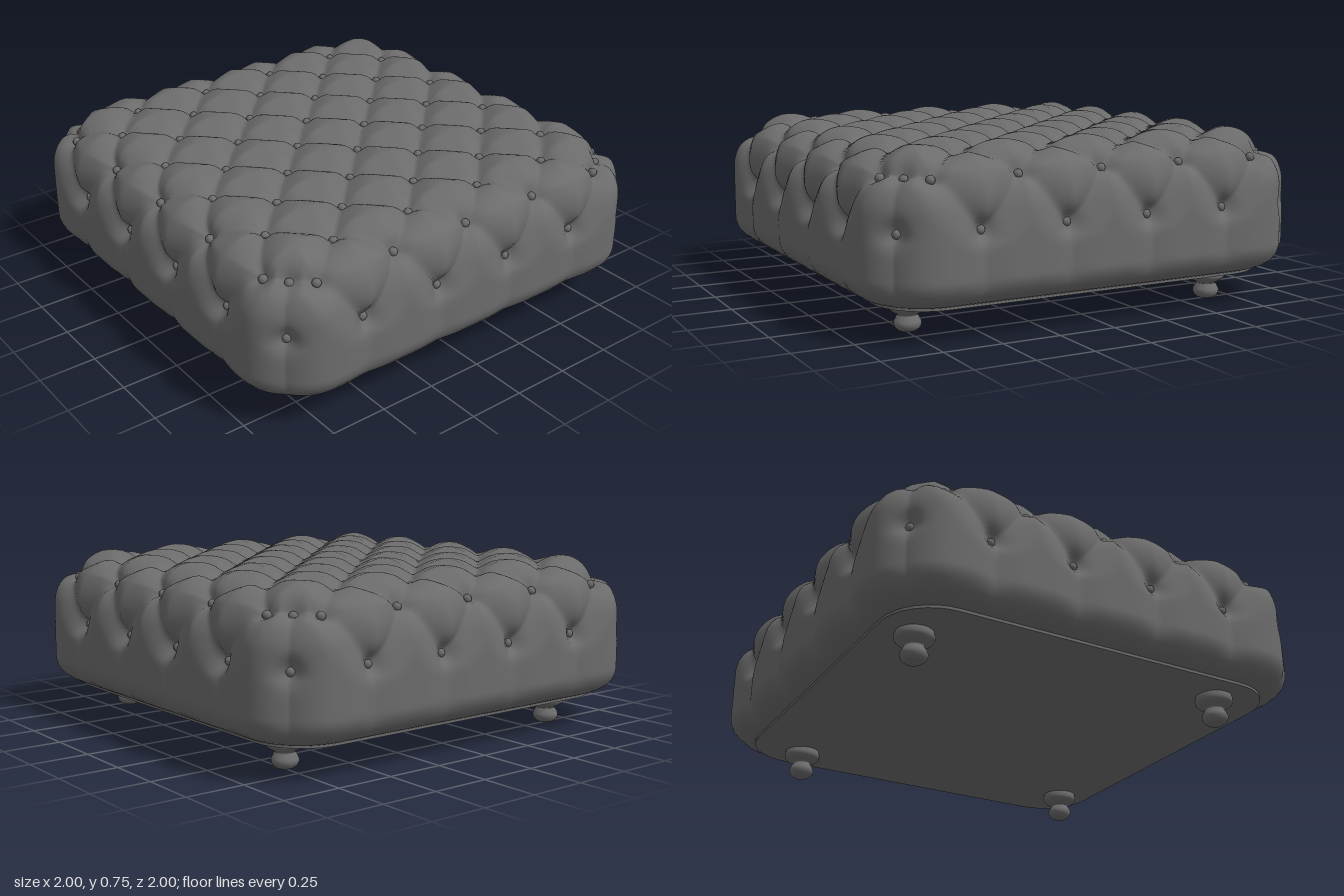
import * as THREE from 'three';
import { mergeVertices } from 'three/addons/utils/BufferGeometryUtils.js';

const HALF = 0.955, TOP = 0.70, BOTTOM = 0.135;   // cushion before puffing
const TOP_R = 0.2, BOTTOM_R = 0.08, PLAN_R = 0.25; // edge and corner radii
const STEP = 0.187, PUFF = 0.045;
const V = (x, y, z) => new THREE.Vector3(x, y, z);

// Rounded square outline point (half size 1) for a point on the unit square
function roundedSquare(x, z) {
  const c = 1 - PLAN_R;
  const ix = THREE.MathUtils.clamp(x, -c, c), iz = THREE.MathUtils.clamp(z, -c, c);
  const k = PLAN_R / Math.hypot(x - ix, z - iz);
  return [ix + (x - ix) * k, iz + (z - iz) * k];
}

// Smooth cushion block: maps a box point (x, z in -1..1, y in 0..1)
function blockPoint(x, y, z) {
  const m = Math.max(Math.abs(x), Math.abs(z));
  let rho = m * HALF, h = BOTTOM + y * (TOP - BOTTOM);
  const a = rho - (HALF - TOP_R), b = h - (TOP - TOP_R);
  if (a > 0 && b > 0) {
    const k = TOP_R / Math.hypot(a, b);
    rho = HALF - TOP_R + a * k;
    h = TOP - TOP_R + b * k;
  } else if (h < BOTTOM + BOTTOM_R) {
    const t = (BOTTOM + BOTTOM_R - h) / BOTTOM_R * Math.PI / 2;
    rho = m * (HALF - BOTTOM_R + BOTTOM_R * Math.cos(t));
    h = BOTTOM + BOTTOM_R * (1 - Math.sin(t));
  }
  if (m < 1e-6) return V(0, h, 0);
  const [px, pz] = roundedSquare(x / m, z / m);
  return V(px * rho, h, pz * rho);
}

// Button positions and the pleats that join them
function tufting() {
  const buttons = [], pleats = [];
  for (let k = -4; k <= 4; k++)
    for (let i = -4; i <= 4; i++)
      if ((i + k) % 2 !== 0) buttons.push(V(i * STEP, TOP, k * STEP));
  const corners = [];
  for (let q = 0; q < 4; q++) {
    const turn = (x, y, z) => V(x, y, z).applyAxisAngle(V(0, 1, 0), q * Math.PI / 2);
    for (const i of [-4, -2, 0, 2, 4]) buttons.push(turn(i * STEP, 0.64, 0.9));
    for (const i of [-3, -1, 1, 3]) {
      const p = turn(i * STEP, 0.43, HALF);
      buttons.push(p);
      pleats.push({ line: new THREE.Line3(p, turn(i * STEP, 0.15, HALF)), depth: 0.5 });
    }
    const upper = turn(0.833, 0.64, 0.833), lower = turn(0.885, 0.43, 0.885);
    corners.push(upper, lower);
    for (const [p, s, depth] of [
      [upper, turn(4 * STEP, 0.64, 0.9), 0.9], [upper, turn(0.9, 0.64, 4 * STEP), 0.9],
      [upper, lower, 0.7], [lower, turn(0.885, 0.15, 0.885), 0.5],
    ]) pleats.push({ line: new THREE.Line3(p, s), depth });
  }
  // Diagonal pleats between neighbouring buttons
  buttons.forEach((p, i) => buttons.slice(i + 1).forEach((s) => {
    if (p.distanceTo(s) < 0.31) pleats.push({ line: new THREE.Line3(p, s), depth: 1 });
  }));
  return { buttons: buttons.concat(corners), pleats };
}

// How far the padding stands out from the block at a point
function puffAt(p, n, { buttons, pleats }) {
  const near = V(0, 0, 0);
  let dent = 0, pull = 0;
  for (const { line, depth } of pleats) {
    line.closestPointToPoint(p, true, near).sub(p);
    if (near.lengthSq() > 0.04) continue;
    const d = near.addScaledVector(n, -near.dot(n)).length();
    dent = Math.max(dent, depth * (1 - Math.sin(Math.min(1, d / 0.13) * Math.PI / 2)));
  }
  for (const b of buttons) pull = Math.max(pull, Math.exp(-b.distanceToSquared(p) / 0.002));
  const fade = THREE.MathUtils.smoothstep(p.y, BOTTOM, 0.25);
  return fade * (PUFF * (1 - dent) - 0.03 * pull);
}

export function createModel() {
  const model = new THREE.Group();
  const leather = new THREE.MeshStandardMaterial({ color: 0x6b6b6b });
  leather.name = 'greyLeather';
  const add = (geometry, name, parent = model) => {
    const mesh = new THREE.Mesh(geometry, leather);
    mesh.name = name;
    parent.add(mesh);
    return mesh;
  };

  // Tufted cushion: rounded block without its underside, puffed between pleats
  const box = new THREE.BoxGeometry(2, 1, 2, 150, 38, 150);
  const under = box.groups[3];
  box.setIndex([...box.index.array].filter((_, i) => i < under.start || i >= under.start + under.count));
  box.clearGroups();
  box.deleteAttribute('uv');
  box.deleteAttribute('normal');
  const cushion = mergeVertices(box);
  const pos = cushion.attributes.position;
  for (let i = 0; i < pos.count; i++) {
    const p = blockPoint(pos.getX(i), pos.getY(i) + 0.5, pos.getZ(i));
    pos.setXYZ(i, p.x, p.y, p.z);
  }
  cushion.computeVertexNormals();
  const normals = cushion.attributes.normal;
  const tufts = tufting();
  const seats = tufts.buttons.map(() => ({ d: Infinity, puff: 0, n: V(0, 1, 0) }));
  const p = V(0, 0, 0), n = V(0, 0, 0);
  for (let i = 0; i < pos.count; i++) {
    p.fromBufferAttribute(pos, i);
    n.fromBufferAttribute(normals, i);
    const puff = puffAt(p, n, tufts);
    tufts.buttons.forEach((b, j) => {
      const d = b.distanceToSquared(p);
      if (d < seats[j].d) seats[j] = { d, puff, n: n.clone() };
    });
    p.addScaledVector(n, puff);
    pos.setXYZ(i, p.x, p.y, p.z);
  }
  cushion.computeVertexNormals();
  add(cushion, 'tuftedCushion');

  // Buttons sunk into the pleat crossings
  const buttons = new THREE.Group();
  buttons.name = 'buttons';
  const buttonGeometry = new THREE.SphereGeometry(0.019, 10, 8);
  tufts.buttons.forEach((b, j) => {
    const button = add(buttonGeometry, 'button', buttons);
    button.position.copy(b).addScaledVector(seats[j].n, seats[j].puff + 0.004);
  });
  model.add(buttons);

  // Flat base panel
  const outline = [];
  for (let q = 0; q < 4; q++)
    for (let s = 0; s <= 8; s++) {
      const a = (q + s / 8) * Math.PI / 2, c = 1 - PLAN_R;
      const sx = q === 0 || q === 3 ? 1 : -1, sz = q < 2 ? 1 : -1;
      outline.push(new THREE.Vector2(sx * c + PLAN_R * Math.cos(a), sz * c + PLAN_R * Math.sin(a)).multiplyScalar(0.89));
    }
  const panel = new THREE.ExtrudeGeometry(new THREE.Shape(outline), { depth: 0.015, bevelEnabled: false });
  panel.rotateX(-Math.PI / 2);
  add(panel, 'basePanel').position.y = 0.125;

  // Turned feet, set slightly askew
  const profile = new THREE.SplineCurve([
    [0.035, 0], [0.05, 0.013], [0.056, 0.033], [0.046, 0.055], [0.042, 0.066],
    [0.062, 0.078], [0.078, 0.092], [0.081, 0.108], [0.076, 0.13],
  ].map(([r, y]) => new THREE.Vector2(r, y))).getPoints(28);
  const footGeometry = new THREE.LatheGeometry([new THREE.Vector2(0, 0), ...profile], 32);
  for (const [x, z] of [[-0.645, -0.735], [-0.735, 0.645], [0.735, -0.645], [0.645, 0.735]])
    add(footGeometry, 'foot').position.set(x, 0, z);

  return model;
}
